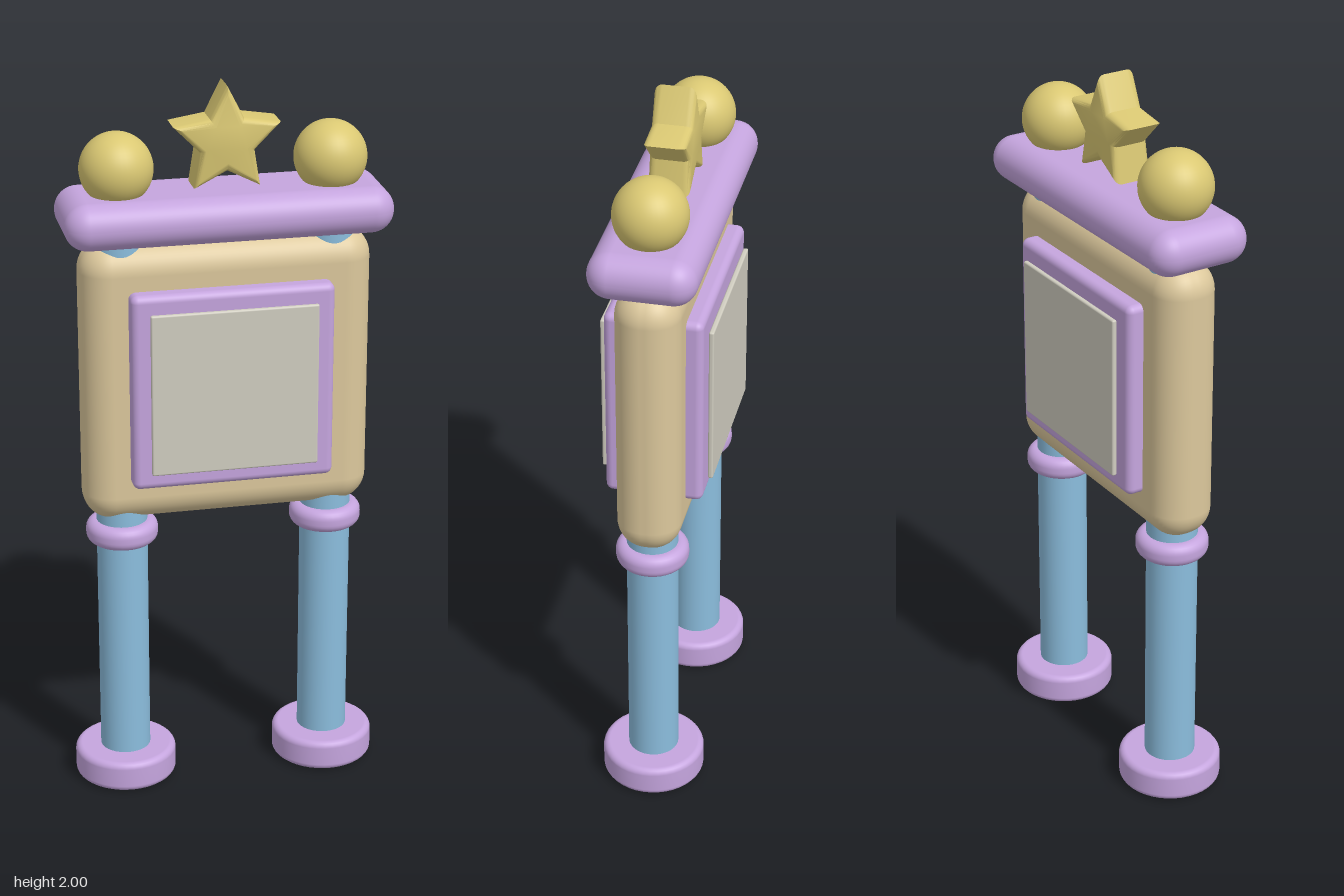
import * as THREE from 'three';
import { RoundedBoxGeometry } from 'three/addons/geometries/RoundedBoxGeometry.js';
import { toCreasedNormals } from 'three/addons/utils/BufferGeometryUtils.js';

const material = (name, color) => {
  const m = new THREE.MeshStandardMaterial({ color });
  m.name = name;
  return m;
};

// Disc with rounded rims, from y0 to y1
function roundedDisc(radius, y0, y1, bevel) {
  const pts = [new THREE.Vector2(0, y0)];
  const corner = (cy, start) => {
    for (let i = 0; i <= 6; i++) {
      const a = start + (i / 6) * Math.PI / 2;
      pts.push(new THREE.Vector2(radius - bevel + bevel * Math.cos(a), cy + bevel * Math.sin(a)));
    }
  };
  corner(y0 + bevel, -Math.PI / 2);
  corner(y1 - bevel, 0);
  pts.push(new THREE.Vector2(0, y1));
  return new THREE.LatheGeometry(pts, 40);
}

// Puffy five-pointed star centred on the origin
function starGeometry(outer, inner, halfDepth) {
  const shape = new THREE.Shape();
  for (let i = 0; i < 10; i++) {
    const a = Math.PI / 2 + i * Math.PI / 5;
    const r = i % 2 ? inner : outer;
    if (i) shape.lineTo(r * Math.cos(a), r * Math.sin(a));
    else shape.moveTo(r * Math.cos(a), r * Math.sin(a));
  }
  shape.closePath();
  const bevel = 0.02;
  const geo = new THREE.ExtrudeGeometry(shape, {
    depth: 2 * (halfDepth - bevel), bevelThickness: bevel, bevelSize: bevel, bevelSegments: 5, steps: 1,
  });
  geo.translate(0, 0, bevel - halfDepth);
  // Fit the outline so the top tip reaches 0.15
  geo.computeBoundingBox();
  const s = 0.15 / geo.boundingBox.max.y;
  geo.scale(s, s, 1);
  return toCreasedNormals(geo, 0.7);
}

export function createModel() {
  const tan = material('tan', 0xdcc89c);
  const lilac = material('lilac', 0xc5a5de);
  const gold = material('gold', 0xdac873);
  const blue = material('blue', 0x8bbddd);
  const grey = material('pale grey', 0xd0cdc0);

  const model = new THREE.Group();
  model.name = 'signBoard';
  const add = (name, geo, mat, x = 0, y = 0, z = 0) => {
    const mesh = new THREE.Mesh(geo, mat);
    mesh.name = name;
    mesh.position.set(x, y, z);
    model.add(mesh);
    return mesh;
  };

  // Main board and top beam
  add('board', new RoundedBoxGeometry(0.79, 0.79, 0.175, 6, 0.08), tan, 0, 1.198, 0);
  add('topBeam', new RoundedBoxGeometry(0.88, 0.126, 0.284, 6, 0.062), lilac, 0, 1.657, 0);

  // Raised frame showing on both faces, with a thin display on each
  add('frame', new RoundedBoxGeometry(0.55, 0.55, 0.264, 4, 0.02), lilac, 0, 1.197, 0);
  for (const [name, z] of [['frontDisplay', 0.144], ['backDisplay', -0.144]]) {
    add(name, new RoundedBoxGeometry(0.454, 0.454, 0.014, 2, 0.005), grey, 0, 1.197, z);
  }

  // Posts with feet, collars and ball finials
  const post = new THREE.CylinderGeometry(0.07, 0.07, 1.65, 32);
  const foot = roundedDisc(0.142, 0.002, 0.09, 0.018);
  const collar = roundedDisc(0.099, 0.725, 0.79, 0.026);
  const ball = new THREE.SphereGeometry(0.098, 40, 28);
  for (const [side, x] of [['left', 0.287], ['right', -0.287]]) {
    add(side + 'Post', post, blue, x, 0.825, 0);
    add(side + 'Foot', foot, lilac, x);
    add(side + 'Collar', collar, lilac, x);
    add(side + 'Ball', ball, gold, x, 1.785, 0);
  }

  // Star on top
  add('star', starGeometry(0.125, 0.055, 0.055), gold, 0, 1.85, 0);
  return model;
}
